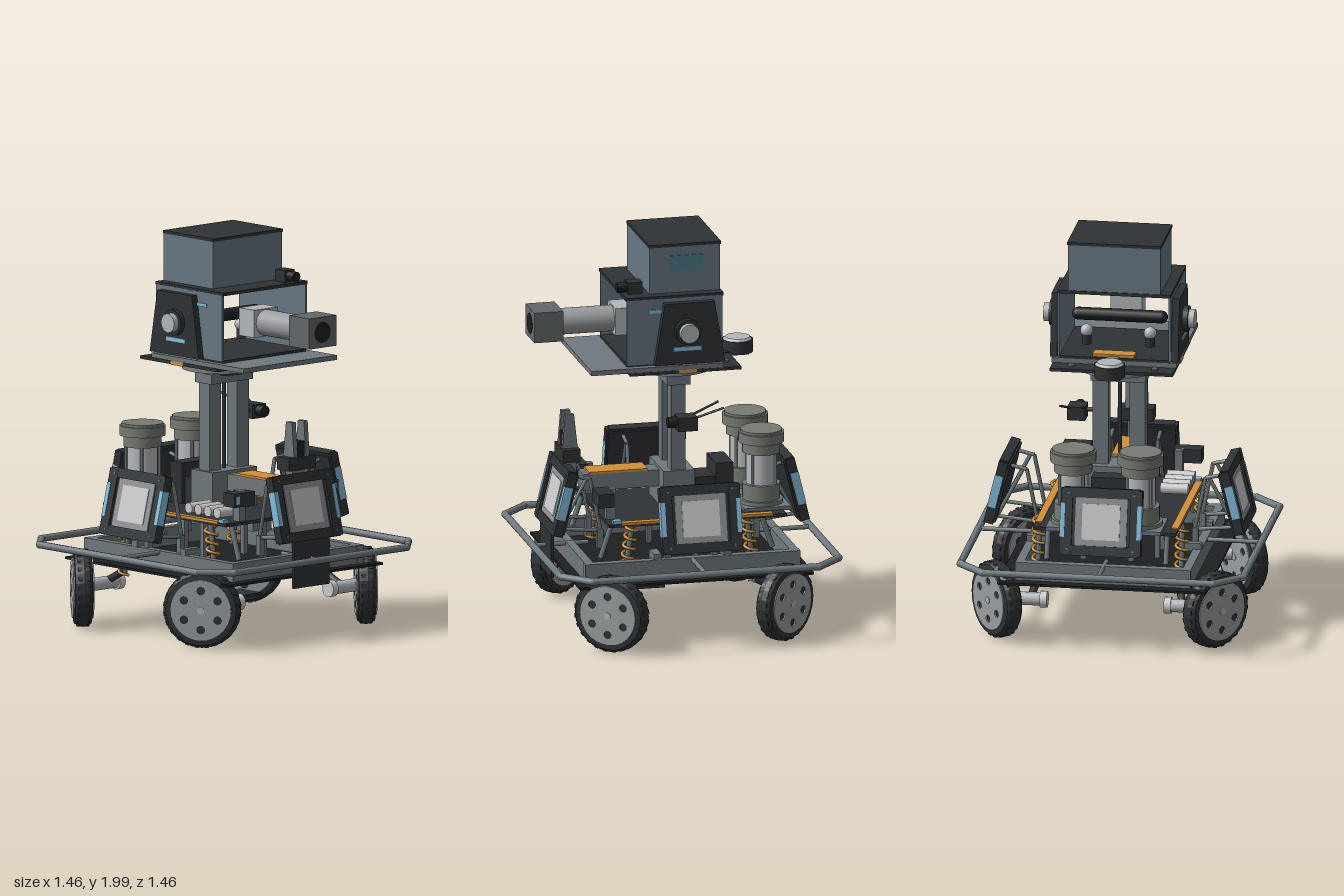
import * as THREE from 'three';

const mats = {};
const mat = (color, flat = false) => {
  const key = color + '_' + flat;
  return mats[key] ??= new THREE.MeshStandardMaterial({ color, flatShading: flat });
};
const DARK = 0x2f3336, BLACK = 0x1d1f21, STEEL = 0x6f797e, HULL = 0x687883, LIGHT = 0xb4b8ba,
  ORANGE = 0xd0913a, BLUE = 0x86bede, TEAL = 0x4a7f8c, OLIVE = 0x777b74, WHITE = 0xd2d4d4;
const V = (x, y, z) => new THREE.Vector3(x, y, z);

function add(parent, name, geometry, color, x = 0, y = 0, z = 0, flat = false) {
  const m = new THREE.Mesh(geometry, mat(color, flat));
  m.name = name;
  m.position.set(x, y, z);
  parent.add(m);
  return m;
}
// Box given by its lower and upper limits on each axis
const box = (p, name, color, x0, x1, y0, y1, z0, z1) =>
  add(p, name, new THREE.BoxGeometry(x1 - x0, y1 - y0, z1 - z0), color, (x0 + x1) / 2, (y0 + y1) / 2, (z0 + z1) / 2);
// Cylinder between two points
function rod(p, name, color, a, b, r, sides = 8, r2 = r) {
  const d = b.clone().sub(a);
  const m = add(p, name, new THREE.CylinderGeometry(r2, r, d.length(), sides), color);
  m.position.copy(a).add(b).multiplyScalar(0.5);
  m.quaternion.setFromUnitVectors(V(0, 1, 0), d.normalize());
  return m;
}
function group(parent, name, x = 0, y = 0, z = 0) {
  const g = new THREE.Group();
  g.name = name;
  g.position.set(x, y, z);
  parent.add(g);
  return g;
}

// Wheel with its axle on local z: lathe tyre, tread bars, pierced hub discs
function makeWheel(parent, x, z) {
  const w = group(parent, 'wheel', x, 0.202, z);
  w.rotation.y = Math.atan2(x, z);
  const profile = [[0, -0.03], [0.14, -0.03], [0.15, -0.046], [0.178, -0.043], [0.192, -0.025], [0.196, 0],
    [0.192, 0.025], [0.178, 0.043], [0.15, 0.046], [0.14, 0.03], [0, 0.03]].map(([r, y]) => new THREE.Vector2(r, y));
  add(w, 'tyre', new THREE.LatheGeometry(profile, 24), DARK, 0, 0, 0, true).rotation.x = Math.PI / 2;
  for (let i = 0; i < 24; i++) {
    const a = (i + 0.5) / 24 * Math.PI * 2;
    const t = add(w, 'treadBar', new THREE.BoxGeometry(0.012, 0.02, 0.06), DARK, Math.cos(a) * 0.187, Math.sin(a) * 0.187, 0);
    t.rotation.z = a;
  }
  const disc = new THREE.Shape().absarc(0, 0, 0.152, 0, Math.PI * 2);
  for (let i = 0; i < 6; i++) {
    const a = i / 6 * Math.PI * 2 + Math.PI / 6;
    disc.holes.push(new THREE.Path().absarc(Math.cos(a) * 0.098, Math.sin(a) * 0.098, 0.019, 0, Math.PI * 2, true));
  }
  const hub = new THREE.ExtrudeGeometry(disc, { depth: 0.008, bevelEnabled: false, curveSegments: 16 });
  add(w, 'outerHub', hub, 0x9a9ea0, 0, 0, 0.044);
  add(w, 'innerHub', hub, 0x9a9ea0, 0, 0, -0.052);
  rod(w, 'hubCap', LIGHT, V(0, 0, -0.056), V(0, 0, 0.056), 0.018, 16);
}

// Coil spring around a damper rod
function makeSpring(parent, a, b) {
  const s = group(parent, 'suspension');
  rod(s, 'damper', STEEL, a, b, 0.014, 10);
  const pts = [], turns = 7;
  for (let i = 0; i <= turns * 12; i++) {
    const t = i / (turns * 12), ang = t * turns * Math.PI * 2;
    pts.push(a.clone().lerp(b, t).add(V(Math.cos(ang) * 0.03, 0, Math.sin(ang) * 0.03)));
  }
  add(s, 'coil', new THREE.TubeGeometry(new THREE.CatmullRomCurve3(pts), 168, 0.008, 6), ORANGE);
}

// Tilted panel with its tube bracket, facing local +z
function makePanel(parent, turn) {
  const g = group(parent, 'sidePanel');
  g.rotation.y = turn;
  const p = group(g, 'panel', 0, 0.675, 0.59);
  p.rotation.x = -0.24;
  box(p, 'panelBack', DARK, -0.195, 0.195, -0.155, 0.155, -0.03, 0.015);
  for (const s of [-1, 1]) {
    box(p, 'panelBorder', DARK, s * 0.175 - 0.03, s * 0.175 + 0.03, -0.165, 0.165, -0.02, 0.028);
    box(p, 'panelBorder', DARK, -0.19, 0.19, s * 0.145 - 0.025, s * 0.145 + 0.025, -0.02, 0.027);
    box(p, 'lightStrip', BLUE, s * 0.194 - 0.012, s * 0.194 + 0.012, -0.08, 0.09, -0.012, 0.03);
    const x = s * 0.12;
    const loop = [V(x, 0.80, 0.54), V(x, 0.78, 0.45), V(x, 0.51, 0.395), V(x, 0.53, 0.60), V(x, 0.78, 0.47)];
    for (let i = 0; i < 4; i++) rod(g, 'bracketTube', STEEL, loop[i], loop[i + 1], 0.01);
    box(g, 'bracketFoot', STEEL, x - 0.015, x + 0.015, 0.42, 0.52, 0.385, 0.415);
    for (const t of [-1, 1]) rod(p, 'screw', STEEL, V(s * 0.165, t * 0.14, 0.02), V(s * 0.165, t * 0.14, 0.031), 0.006);
  }
  box(p, 'plateMargin', 0x8d9294, -0.13, 0.13, -0.12, 0.12, 0.01, 0.02);
  box(p, 'plate', WHITE, -0.095, 0.095, -0.09, 0.09, 0.015, 0.024);
  rod(g, 'bumperMount', STEEL, V(0, 0.42, 0.43), V(0, 0.42, 0.715), 0.012);
}

function makeCanister(parent, z) {
  const c = group(parent, 'canister', -0.415, 0, z);
  for (const [name, color, y0, y1, r] of [['base', OLIVE, 0.62, 0.64, 0.11], ['lowerCup', OLIVE, 0.64, 0.72, 0.095],
    ['glass', 0xb9bcbc, 0.72, 0.88, 0.075], ['collar', OLIVE, 0.88, 0.935, 0.095], ['cap', OLIVE, 0.935, 0.985, 0.115],
    ['capTop', OLIVE, 0.985, 0.998, 0.105]]) rod(c, name, color, V(0, y0, 0), V(0, y1, 0), r, 28);
  for (let i = 0; i < 4; i++) {
    const a = (i + 0.5) * Math.PI / 2, x = Math.cos(a) * 0.084, d = Math.sin(a) * 0.084;
    rod(c, 'cageRod', STEEL, V(x, 0.7, d), V(x, 0.9, d), 0.008);
  }
}

function makeChassis(g) {
  box(g, 'basePlate', BLACK, -0.6, 0.6, 0.325, 0.337, -0.525, 0.525);
  for (const s of [-1, 1]) {
    box(g, 'sideBeam', STEEL, -0.55, 0.55, 0.337, 0.43, s * 0.42 - 0.022, s * 0.42 + 0.022);
    box(g, 'crossBeam', STEEL, s * 0.525 - 0.022, s * 0.525 + 0.022, 0.337, 0.43, -0.42, 0.42);
    for (const t of [-1, 1]) {
      makeWheel(g, s * 0.443, t * 0.55);
      rod(g, 'wheelMotor', LIGHT, V(s * 0.443, 0.21, t * 0.5), V(s * 0.443, 0.21, t * 0.32), 0.033, 16);
      rod(g, 'motorEnd', WHITE, V(s * 0.443, 0.21, t * 0.33), V(s * 0.443, 0.21, t * 0.295), 0.042, 16);
      rod(g, 'suspensionArm', DARK, V(s * 0.443, 0.22, t * 0.38), V(s * 0.34, 0.28, t * 0.36), 0.02);
      makeSpring(g, V(s * 0.34, 0.26, t * 0.36), V(s * 0.295, 0.59, t * 0.36));
      rod(g, 'deckPost', STEEL, V(s * 0.44, 0.42, t * 0.3), V(s * 0.38, 0.6, t * 0.3), 0.014);
      box(g, 'innerPost', STEEL, s * 0.07 - 0.013, s * 0.07 + 0.013, 0.33, 0.6, t * 0.2 - 0.013, t * 0.2 + 0.013);
      box(g, 'frameBracket', STEEL, s * 0.18 - 0.02, s * 0.18 + 0.02, 0.42, 0.46, t * 0.39 - 0.05, t * 0.39 + 0.05);
    }
  }
  // Octagonal bumper rail
  const ring = [[0.58, 0.713], [0.713, 0.58], [0.713, -0.58], [0.58, -0.713], [-0.58, -0.713], [-0.713, -0.58], [-0.713, 0.58], [-0.58, 0.713]]
    .map(([x, z]) => V(x, 0.42, z));
  ring.forEach((p, i) => {
    rod(g, 'bumperRail', STEEL, p, ring[(i + 1) % 8], 0.018, 10);
    add(g, 'bumperJoint', new THREE.SphereGeometry(0.019, 10, 8), STEEL, p.x, p.y, p.z);
  });
  for (let i = 0; i < 4; i++) makePanel(g, i * Math.PI / 2);
  box(g, 'lowerFlap', DARK, 0.635, 0.648, 0.28, 0.53, -0.12, 0.12);
  box(g, 'undersidePlate', DARK, 0.05, 0.21, 0.174, 0.19, -0.06, 0.06);
}

function makeDeck(g) {
  box(g, 'deck', DARK, -0.5, 0.41, 0.588, 0.604, -0.36, 0.36);
  box(g, 'canisterTray', STEEL, -0.54, -0.3, 0.6, 0.62, -0.29, 0.29);
  for (const s of [-1, 1]) {
    box(g, 'deckTrim', ORANGE, -0.43, 0.345, 0.598, 0.61, s * 0.343 - 0.018, s * 0.343 + 0.018);
    box(g, 'deckLamp', BLUE, 0.345, 0.385, 0.604, 0.62, s * 0.335 - 0.018, s * 0.335 + 0.018);
    box(g, 'sideUnit', DARK, 0.38, 0.46, 0.69, 0.76, s * 0.28 - 0.07, s * 0.28 + 0.07);
    box(g, 'sideUnitLight', BLUE, 0.4, 0.463, 0.705, 0.745, s * 0.325 - 0.012, s * 0.325 + 0.012);
    box(g, 'sideUnitPost', STEEL, 0.35, 0.4, 0.6, 0.76, s * 0.24 - 0.02, s * 0.24 + 0.02);
    makeCanister(g, s * 0.17);
  }
  for (let i = 0; i < 4; i++) rod(g, 'sampleTube', WHITE, V(0.1 + i * 0.07, 0.645, 0.19), V(0.1 + i * 0.07, 0.645, 0.33), 0.027, 14);
  box(g, 'equipmentBox', DARK, -0.29, -0.2, 0.604, 0.81, -0.1, 0.1);
  box(g, 'equipmentLid', DARK, -0.22, -0.1, 0.604, 0.74, -0.08, 0.08);
  box(g, 'rearArm', STEEL, 0.05, 0.47, 0.7, 0.785, -0.06, 0.05);
  box(g, 'rearArmTrim', ORANGE, 0.14, 0.44, 0.785, 0.797, -0.065, 0.055);
  // Upright gripper above the side panel
  box(g, 'gripperStem', STEEL, 0.5, 0.55, 0.68, 0.87, -0.04, 0.04);
  box(g, 'gripperBody', DARK, 0.49, 0.58, 0.86, 0.925, -0.09, 0.09);
  box(g, 'gripperHead', BLACK, 0.505, 0.565, 0.925, 1.0, -0.035, 0.035);
  const finger = new THREE.Shape([[0.495, 0.92], [0.575, 0.92], [0.56, 1.1], [0.515, 1.1]].map(p => new THREE.Vector2(...p)));
  for (const s of [-1, 1]) add(g, 'gripperFinger', new THREE.ExtrudeGeometry(finger, { depth: 0.025, bevelEnabled: false }), STEEL, 0, 0, s * 0.04 - 0.0125);
}

function makeMast(g) {
  box(g, 'mastFoot', STEEL, -0.08, 0.08, 0.604, 0.8, -0.15, 0.15);
  for (const s of [-1, 1]) box(g, 'mastPost', STEEL, -0.037, 0.037, 0.72, 1.25, s * 0.093 - 0.04, s * 0.093 + 0.04);
  rod(g, 'mastCable', DARK, V(0, 0.8, 0), V(0, 1.25, 0), 0.01);
  box(g, 'mastCap', STEEL, -0.06, 0.06, 1.24, 1.29, -0.14, 0.14);
  rod(g, 'mastNeck', DARK, V(0, 1.28, 0), V(0, 1.32, 0), 0.1, 24);
  rod(g, 'turntable', 0x7c8488, V(0, 1.305, 0), V(0, 1.35, 0), 0.21, 40);
  // Small side camera with whisker rods
  rod(g, 'cameraArm', DARK, V(0, 1.07, -0.1), V(0, 1.07, -0.2), 0.012);
  box(g, 'mastCamera', DARK, -0.07, 0.03, 1.03, 1.1, -0.255, -0.165);
  rod(g, 'mastCameraLens', BLACK, V(0.03, 1.07, -0.21), V(0.075, 1.07, -0.21), 0.028, 16);
  for (const s of [-1, 1]) rod(g, 'whisker', DARK, V(-0.05, 1.09, -0.21 + s * 0.03), V(-0.2, 1.145, -0.21 + s * 0.06), 0.006);
}

function makeHead(g) {
  box(g, 'lowerPlate', DARK, -0.28, 0.29, 1.35, 1.366, -0.31, 0.31);
  box(g, 'upperPlate', STEEL, -0.19, 0.49, 1.368, 1.392, -0.315, 0.315);
  // Tunnel-like housing, open toward both ends
  box(g, 'housingRoof', DARK, -0.195, 0.305, 1.732, 1.748, -0.285, 0.285);
  box(g, 'housingFloor', DARK, -0.19, 0.3, 1.392, 1.405, -0.28, 0.28);
  const cheek = new THREE.Shape([[-0.195, 1.4], [0.165, 1.4], [0.115, 1.715], [-0.14, 1.715]].map(p => new THREE.Vector2(...p)));
  for (const s of [-1, 1]) {
    box(g, 'housingWall', HULL, -0.19, 0.3, 1.4, 1.735, s * 0.28 - 0.006, s * 0.28 + 0.006);
    add(g, 'cheekPanel', new THREE.ExtrudeGeometry(cheek, { depth: 0.035, bevelEnabled: false }), DARK, 0, 0, s * 0.305 - 0.0175);
    rod(g, 'knobRing', DARK, V(0, 1.57, s * 0.32), V(0, 1.57, s * 0.35), 0.065, 24);
    rod(g, 'knob', LIGHT, V(0, 1.57, s * 0.34), V(0, 1.57, s * 0.38), 0.048, 24);
    box(g, 'cheekLight', BLUE, -0.07, 0.07, 1.47, 1.49, s * 0.322 - 0.005, s * 0.322 + 0.005);
    box(g, 'wallLight', BLUE, 0.115, 0.19, 1.663, 1.68, s * 0.287 - 0.005, s * 0.287 + 0.005);
    box(g, 'plateTag', ORANGE, -0.05, 0.04, 1.348, 1.368, s * 0.308 - 0.006, s * 0.308 + 0.006);
    rod(g, 'plateBolt', STEEL, V(-0.225, 1.36, s * 0.21), V(-0.225, 1.375, s * 0.21), 0.016, 12);
    add(g, 'innerSensor', new THREE.SphereGeometry(0.032, 16, 12), LIGHT, -0.05, 1.5, s * 0.16);
    rod(g, 'innerSensorStem', DARK, V(-0.05, 1.43, s * 0.16), V(-0.05, 1.48, s * 0.16), 0.024, 12);
  }
  const bar = add(g, 'innerBar', new THREE.CapsuleGeometry(0.032, 0.42, 6, 16), BLACK, 0, 1.57, 0);
  bar.rotation.x = Math.PI / 2;
  box(g, 'floorTag', ORANGE, -0.18, -0.11, 1.4, 1.42, -0.11, 0.1);
  // Upper box with dark lid
  box(g, 'upperBox', HULL, -0.19, 0.173, 1.748, 1.99, -0.233, 0.233);
  box(g, 'upperLid', DARK, -0.193, 0.176, 1.985, 2.0, -0.236, 0.236);
  box(g, 'rearDisplay', TEAL, -0.1, 0.07, 1.86, 1.94, -0.238, -0.23);
  // Roof camera
  box(g, 'roofCamera', DARK, 0.205, 0.28, 1.75, 1.81, -0.22, -0.155);
  rod(g, 'roofCameraLens', BLACK, V(0.27, 1.78, -0.187), V(0.33, 1.78, -0.187), 0.026, 16);
  // Barrel instrument
  box(g, 'barrelMount', LIGHT, 0.2, 0.31, 1.5, 1.64, -0.08, 0.08);
  rod(g, 'barrel', 0x9a9da0, V(0.3, 1.57, 0), V(0.59, 1.57, 0), 0.066, 28);
  box(g, 'barrelBox', 0x64686b, 0.58, 0.728, 1.493, 1.648, -0.094, 0.09);
  rod(g, 'barrelLens', BLACK, V(0.72, 1.57, 0), V(0.731, 1.57, 0), 0.052, 24);
  // Puck sensor on a rear outrigger
  box(g, 'puckArm', DARK, -0.38, -0.2, 1.35, 1.37, -0.06, 0.06);
  rod(g, 'puckBody', DARK, V(-0.335, 1.355, 0), V(-0.335, 1.42, 0), 0.078, 24);
  rod(g, 'puckTop', LIGHT, V(-0.335, 1.42, 0), V(-0.335, 1.432, 0), 0.072, 24, 0.062);
  box(g, 'puckBlock', STEEL, -0.24, -0.205, 1.37, 1.42, -0.03, 0.03);
}

export function createModel() {
  const model = new THREE.Group();
  model.name = 'rover';
  makeChassis(group(model, 'chassis'));
  makeDeck(group(model, 'deckEquipment'));
  makeMast(group(model, 'mast'));
  makeHead(group(model, 'head'));
  return model;
}
